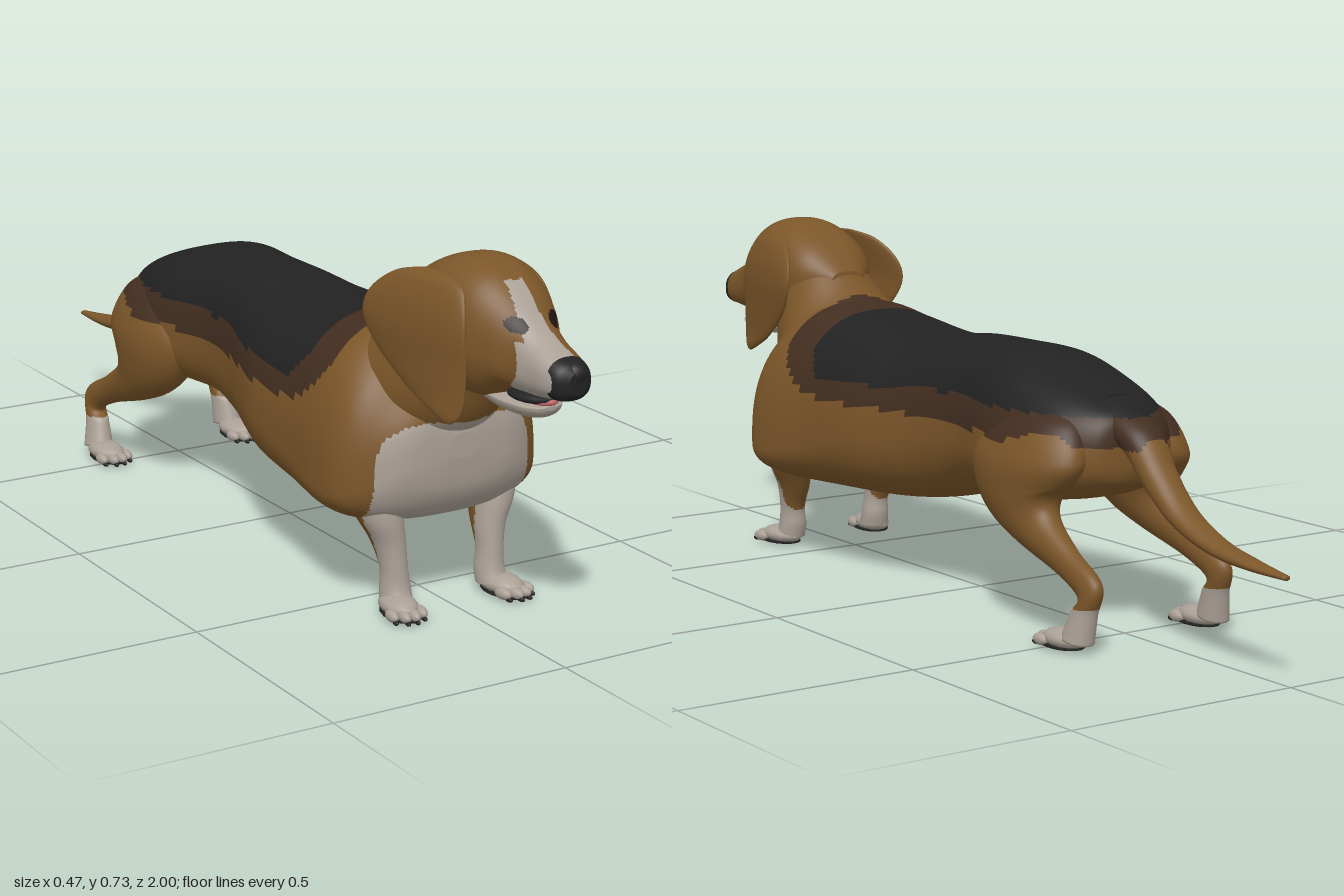
import * as THREE from 'three';

const mat = (name, color) => {
  const m = new THREE.MeshStandardMaterial({ color });
  m.name = name;
  return m;
};

// Smooth blend through rows of numbers
function blend(rows, i, t) {
  const at = k => rows[Math.min(rows.length - 1, Math.max(0, k))];
  const [a, b, c, d] = [at(i - 1), at(i), at(i + 1), at(i + 2)];
  return b.map((_, k) => 0.5 * (2 * b[k] + (c[k] - a[k]) * t
    + (2 * a[k] - 5 * b[k] + 4 * c[k] - d[k]) * t * t
    + (3 * b[k] - a[k] - 3 * c[k] + d[k]) * t * t * t));
}

// Skin over cross-sections [x, y, z, tilt in degrees, half width, up, down].
// Tilt 0 runs towards +z, tilt 90 runs downwards.
// rule(x, y, z) picks the material index of each face.
function loft(name, rows, mats, rule = () => 0, { radial = 48, steps = 10, power = 1, bend = () => 0 } = {}) {
  const pos = [], rings = [];
  const add = (x, y, z) => pos.push(x + bend(x, y, z), y, z);
  for (let i = 0; i < rows.length - 1; i++) {
    for (let s = 0; s < steps; s++) rings.push(blend(rows, i, s / steps));
  }
  rings.push(rows[rows.length - 1]);
  const curve = v => Math.sign(v) * Math.pow(Math.abs(v), power);
  for (const [x, y, z, tilt, w, up, down] of rings) {
    const t = THREE.MathUtils.degToRad(tilt);
    for (let j = 0; j < radial; j++) {
      const a = j / radial * Math.PI * 2;
      const v = curve(Math.sin(a)) * Math.max(0.001, Math.sin(a) > 0 ? up : down);
      add(x + curve(Math.cos(a)) * Math.max(0.001, w), y + v * Math.cos(t), z + v * Math.sin(t));
    }
  }
  const first = pos.length / 3, n = rings.length - 1;
  add(...rings[0].slice(0, 3));
  add(...rings[n].slice(0, 3));
  const lists = mats.map(() => []);
  const face = (corners, index) => {
    const mid = [0, 1, 2].map(k => corners.reduce((sum, c) => sum + pos[c * 3 + k], 0) / corners.length);
    lists[rule(...mid)].push(...index);
  };
  for (let j = 0; j < radial; j++) {
    const k = (j + 1) % radial;
    for (let i = 0; i < n; i++) {
      const p = i * radial, q = p + radial;
      face([p + j, p + k, q + j, q + k], [p + j, p + k, q + j, p + k, q + k, q + j]);
    }
    for (const cap of [[first, k, j], [first + 1, n * radial + j, n * radial + k]]) face(cap, cap);
  }
  const g = new THREE.BufferGeometry();
  g.setAttribute('position', new THREE.Float32BufferAttribute(pos, 3));
  g.setIndex(lists.flat());
  let start = 0;
  lists.forEach((l, i) => { if (l.length) g.addGroup(start, l.length, i); start += l.length; });
  g.computeVertexNormals();
  const mesh = new THREE.Mesh(g, mats);
  mesh.name = name;
  return mesh;
}

function ball(name, m, x, y, z, rx, ry, rz) {
  const mesh = new THREE.Mesh(new THREE.SphereGeometry(1, 14, 10), m);
  mesh.scale.set(rx, ry, rz);
  mesh.position.set(x, y, z);
  mesh.name = name;
  return mesh;
}

export function createModel() {
  const tan = mat('tan coat', 0x7b5629), white = mat('white coat', 0xaaa096);
  const black = mat('black coat', 0x222222), brown = mat('dark brown coat', 0x432e20);
  const eye = mat('eye', 0x21160f), pink = mat('tongue', 0xc4686c);
  const coat = [tan, white, black, brown];
  const dog = new THREE.Group();
  dog.name = 'dog';

  // Coat pattern: black saddle narrowing over the rump, brown border, white bib
  const pattern = (x, y, z) => {
    const sag = 8 * Math.max(0, 0.5 - y) ** 2;
    const rump = THREE.MathUtils.clamp((-0.15 - z) / 0.38, 0, 1);
    const wide = z > -0.15 ? 1 : 0.045 + 0.13 * Math.sqrt(1 - rump * rump);
    const low = 0.44 - 0.02 * THREE.MathUtils.clamp(z * 4, 0, 1);
    if (y > low && z < 0.38 - sag && z > -0.555 && Math.abs(x) < wide) return 2;
    if (y > 0.383 && z < 0.475 - sag && z > -0.6 && Math.abs(x) < wide + 0.035) return 3;
    const bib = Math.pow(Math.abs(x) / 0.178, 4) + Math.pow(Math.abs(y - 0.24) / 0.15, 4);
    return z > 0.57 && bib < 1 && y > 0.18 ? 1 : 0;
  };

  dog.add(loft('torso', [
    [0, 0.37, -0.54, 0, 0.02, 0.03, 0.03],
    [0, 0.36, -0.52, 0, 0.09, 0.085, 0.06],
    [0, 0.35, -0.45, 0, 0.145, 0.13, 0.08],
    [0, 0.34, -0.35, 0, 0.17, 0.175, 0.09],
    [0, 0.35, -0.25, 0, 0.17, 0.19, 0.11],
    [0, 0.36, -0.12, 0, 0.148, 0.183, 0.125],
    [0, 0.36, 0, 0, 0.158, 0.18, 0.16],
    [0, 0.34, 0.1, 0, 0.185, 0.19, 0.16],
    [0, 0.32, 0.2, 0, 0.212, 0.21, 0.15],
    [0, 0.28, 0.35, 0, 0.222, 0.268, 0.115],
    [0, 0.25, 0.48, 0, 0.235, 0.31, 0.085],
    [0, 0.25, 0.56, 0, 0.228, 0.27, 0.078],
    [0, 0.27, 0.61, 0, 0.185, 0.19, 0.08],
    [0, 0.31, 0.645, 0, 0.12, 0.1, 0.07],
    [0, 0.33, 0.656, 0, 0.03, 0.03, 0.02],
  ], coat, pattern, { radial: 96, steps: 14, power: 0.8 }));

  dog.add(loft('neck', [
    [0, 0.39, 0.44, -40, 0.175, 0.18, 0.12],
    [0, 0.47, 0.55, -45, 0.15, 0.13, 0.148],
    [0, 0.55, 0.62, -45, 0.112, 0.115, 0.125],
    [0, 0.62, 0.66, -45, 0.09, 0.085, 0.09],
  ], coat, pattern, { radial: 80, steps: 16 }));

  dog.add(loft('tail', [
    [0.014, 0.208, -1, 0, 0.008, 0.005, 0.005],
    [0.014, 0.215, -0.9, -5, 0.021, 0.012, 0.011],
    [0.012, 0.229, -0.8, -10, 0.028, 0.018, 0.016],
    [0.01, 0.267, -0.7, -27, 0.034, 0.024, 0.023],
    [0.008, 0.33, -0.62, -46, 0.039, 0.031, 0.031],
    [0.005, 0.4, -0.555, -48, 0.048, 0.036, 0.04],
    [0, 0.435, -0.45, -25, 0.06, 0.045, 0.06],
  ], coat, pattern, { steps: 14 }));

  // Head with tapering blaze, one-sided muzzle patch, dark nose end and eyes
  const face = (x, y, z) => {
    if (z > 0.962 && x > -0.03) return 2;
    if (z > 0.78 && y > 0.55) {
      for (const ex of [-0.034, 0.052]) {
        if (((x - ex) / 0.018) ** 2 + ((y - 0.628) / 0.014) ** 2 < 1) return 4;
      }
    }
    const blaze = 0.018 + Math.max(0, 0.69 - y) * 0.12;
    if (z > 0.76 && y > 0.59 && y < 0.697 && Math.abs(x + 0.004) < blaze) return 1;
    if (z > 0.86 && y <= 0.6 && x < 0.026 && x > -0.048 - (z - 0.9) * 0.2) return 1;
    return 0;
  };
  dog.add(loft('head', [
    [0, 0.6, 0.52, 0, 0.04, 0.02, 0.03],
    [0, 0.6, 0.58, 0, 0.095, 0.078, 0.09],
    [0, 0.6, 0.65, 0, 0.112, 0.115, 0.12],
    [0, 0.6, 0.72, 0, 0.112, 0.126, 0.135],
    [0, 0.59, 0.785, 0, 0.1, 0.122, 0.12],
    [0.005, 0.575, 0.835, 0, 0.08, 0.102, 0.078],
    [0.008, 0.56, 0.87, 0, 0.059, 0.08, 0.062],
    [0.01, 0.55, 0.905, 0, 0.052, 0.062, 0.052],
    [0.011, 0.545, 0.95, 0, 0.048, 0.046, 0.042],
    [0.013, 0.54, 0.98, 0, 0.04, 0.038, 0.033],
    [0.014, 0.54, 0.995, 0, 0.02, 0.022, 0.02],
  ], [...coat, eye], face, { radial: 112, steps: 14, power: 0.84 }));
  dog.add(ball('nose', black, 0.02, 0.557, 0.976, 0.025, 0.023, 0.023));
  dog.add(ball('mouthInterior', black, 0.01, 0.492, 0.865, 0.046, 0.013, 0.058));
  dog.add(ball('tongue', pink, 0.012, 0.488, 0.882, 0.03, 0.013, 0.044));
  dog.add(loft('lowerJaw', [
    [0.004, 0.478, 0.76, 0, 0.04, 0.01, 0.022],
    [0.007, 0.478, 0.82, 0, 0.05, 0.008, 0.028],
    [0.01, 0.478, 0.88, 0, 0.046, 0.006, 0.027],
    [0.01, 0.479, 0.91, 0, 0.032, 0.004, 0.019],
    [0.01, 0.48, 0.922, 0, 0.012, 0.002, 0.007],
  ], [white]));

  // Low paw with toes, claws and a dark sole
  const paw = (name, x, z, turn) => {
    const g = new THREE.Group();
    g.name = name;
    g.add(ball('foot', white, 0, 0.022, 0, 0.036, 0.02, 0.056));
    g.add(ball('sole', black, 0, 0.008, 0.01, 0.037, 0.007, 0.06));
    for (let i = 0; i < 4; i++) {
      const tx = (i - 1.5) * 0.02, tz = i % 3 ? 0.051 : 0.038;
      g.add(ball('toe', white, tx, 0.016, tz, 0.0115, 0.012, 0.022));
      g.add(ball('claw', black, tx, 0.008, tz + 0.017, 0.005, 0.005, 0.01));
    }
    g.position.set(x, 0, z);
    g.rotation.y = turn;
    return g;
  };

  for (const s of [1, -1]) {
    const side = s > 0 ? 'left' : 'right';
    const flip = rows => rows.map(([x, ...r]) => [x * s, ...r]);

    // Hanging ear, hugging the skull at its top and spreading outwards to the back
    dog.add(loft(side + 'Ear', flip([
      [0.066, 0.698, 0.68, 90, 0.006, 0.02, 0.03],
      [0.079, 0.682, 0.68, 90, 0.014, 0.085, 0.09],
      [0.094, 0.64, 0.67, 90, 0.016, 0.122, 0.13],
      [0.102, 0.59, 0.67, 90, 0.014, 0.132, 0.14],
      [0.1, 0.53, 0.69, 90, 0.013, 0.115, 0.12],
      [0.101, 0.47, 0.73, 90, 0.01, 0.07, 0.075],
      [0.104, 0.44, 0.755, 90, 0.008, 0.035, 0.035],
      [0.106, 0.426, 0.765, 90, 0.003, 0.008, 0.008],
    ]), [tan], undefined, { steps: 6, bend: (x, y, z) => s * 0.18 * Math.max(0, 0.8 - z) }));

    // Front leg: white with a tan back
    dog.add(loft(side + 'FrontLeg', flip([
      [0.14, 0.25, 0.53, 90, 0.055, 0.07, 0.08],
      [0.13, 0.19, 0.56, 90, 0.045, 0.05, 0.06],
      [0.117, 0.14, 0.573, 90, 0.033, 0.038, 0.045],
      [0.112, 0.09, 0.585, 90, 0.027, 0.03, 0.03],
      [0.11, 0.05, 0.587, 90, 0.03, 0.034, 0.03],
      [0.112, 0.02, 0.595, 90, 0.032, 0.04, 0.032],
    ]), coat, (x, y, z) => (z > 0.572 - Math.max(0, 0.1 - y) && y < 0.24 ? 1 : 0)));
    dog.add(paw(side + 'FrontPaw', s * 0.12, 0.617, s * 0.15));

    // Hind leg: thigh, shin slanting back to the hock, then the foot
    dog.add(loft(side + 'HindLeg', flip([
      [0.085, 0.46, -0.37, 90, 0.02, 0.04, 0.05],
      [0.105, 0.42, -0.365, 90, 0.062, 0.11, 0.12],
      [0.127, 0.35, -0.35, 90, 0.076, 0.15, 0.165],
      [0.138, 0.28, -0.35, 100, 0.066, 0.12, 0.135],
      [0.148, 0.22, -0.41, 130, 0.044, 0.06, 0.06],
      [0.154, 0.17, -0.515, 150, 0.027, 0.034, 0.032],
      [0.158, 0.125, -0.595, 125, 0.022, 0.032, 0.035],
      [0.162, 0.08, -0.585, 90, 0.024, 0.034, 0.03],
      [0.167, 0.025, -0.572, 80, 0.031, 0.04, 0.034],
    ]), coat, (x, y, z) => (y < 0.09 ? 1 : pattern(x, y, z)), { steps: 10 }));
    dog.add(paw(side + 'HindPaw', s * 0.168, -0.53, 0));
  }
  return dog;
}
